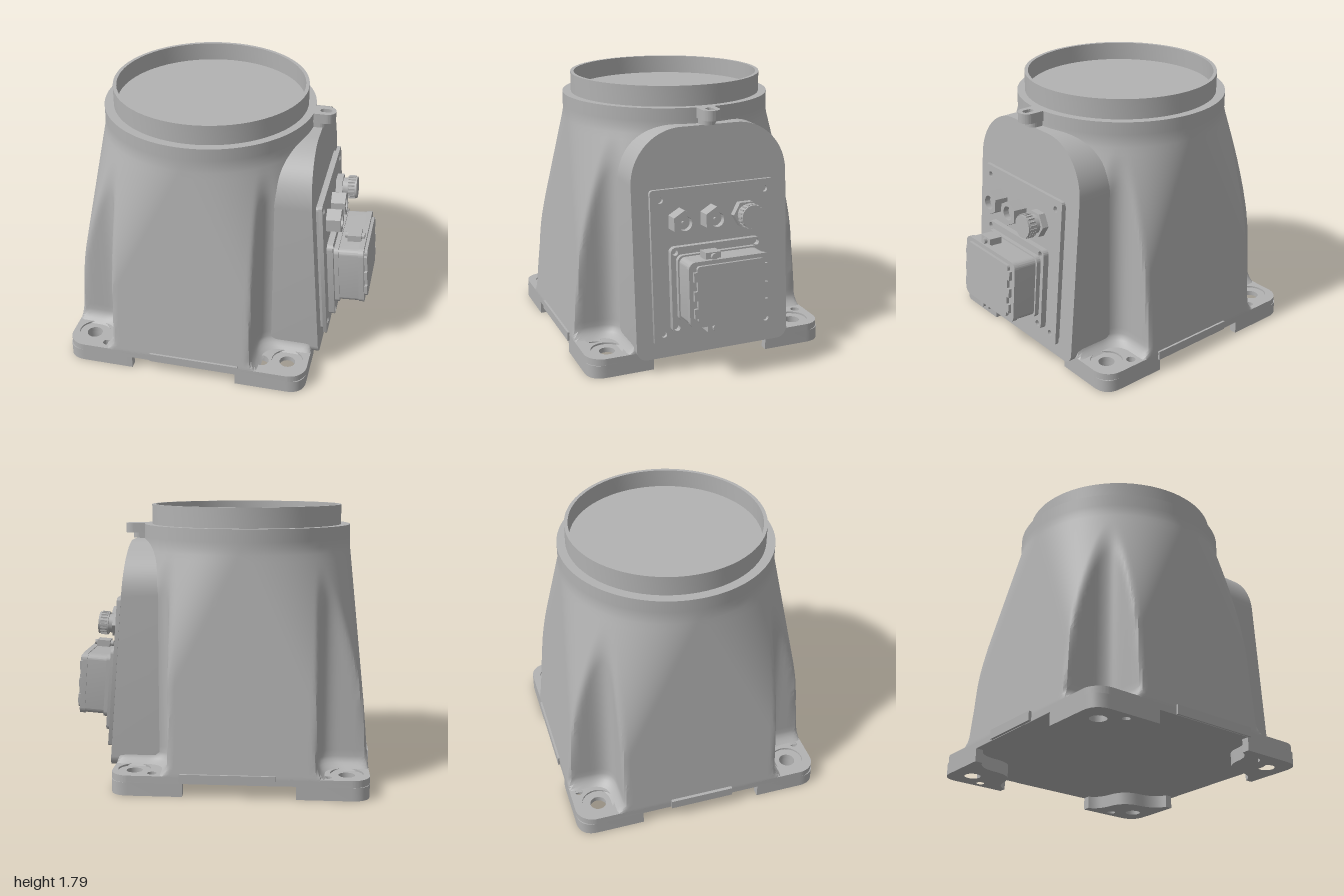
import * as THREE from 'three';
import { toCreasedNormals } from 'three/addons/utils/BufferGeometryUtils.js';

const grey = new THREE.MeshStandardMaterial({ color: 0xb2b2b2 });
grey.name = 'castGrey';
const CX = -0.163, LEAN = 0.0786;
const lerp = THREE.MathUtils.lerp;

function add(parent, name, geo, crease = 0.55) {
  const mesh = new THREE.Mesh(toCreasedNormals(geo, crease), grey);
  mesh.name = name;
  parent.add(mesh);
  return mesh;
}

// Rounded rectangle with separate bottom and top corner radii
function roundRect(x0, y0, x1, y1, rb, rt = rb) {
  const s = new THREE.Shape();
  s.moveTo(x0 + rb, y0);
  s.lineTo(x1 - rb, y0);
  s.absarc(x1 - rb, y0 + rb, rb, -Math.PI / 2, 0);
  s.absarc(x1 - rt, y1 - rt, rt, 0, Math.PI / 2);
  s.absarc(x0 + rt, y1 - rt, rt, Math.PI / 2, Math.PI);
  s.absarc(x0 + rb, y0 + rb, rb, Math.PI, Math.PI * 1.5);
  return s;
}

function cutHoles(shape, holes) {
  for (const [x, y, r] of holes) {
    shape.holes.push(new THREE.Path().absarc(x, y, r, 0, Math.PI * 2, true));
  }
  return shape;
}

const extrude = (shape, depth) =>
  new THREE.ExtrudeGeometry(shape, { depth, bevelEnabled: false, curveSegments: 14 });
// Horizontal slab: shape is drawn in (x, -z)
const slab = (shape, y0, y1) => extrude(shape, y1 - y0).rotateX(-Math.PI / 2).translate(0, y0, 0);
// Wall plate facing +x: shape is drawn in (-z, y)
const wall = (shape, x0, x1) => extrude(shape, x1 - x0).rotateY(Math.PI / 2).translate(x0, 0, 0);
// Round or hexagonal stub along +x
function stub(r, x0, x1, y, z, sides = 24) {
  return new THREE.CylinderGeometry(r, r, x1 - x0, sides).rotateZ(-Math.PI / 2)
    .translate((x0 + x1) / 2, y, z);
}

// Signed distance of the body's section: rounded rectangle turning into a circle,
// with four upright corner pockets cut away
function section(x, z, y) {
  const t = THREE.MathUtils.clamp((y - 0.13) / 1.4, 0, 1);
  const R = lerp(0.12, 0.69, t);
  const qx = Math.abs(x - CX) - lerp(0.815, 0.69, t) + R;
  const qz = Math.abs(z) - lerp(0.83, 0.69, t) + R;
  const outer = Math.hypot(Math.max(qx, 0), Math.max(qz, 0)) + Math.min(Math.max(qx, qz), 0) - R;
  const flare = 0.06 * Math.max(0, (0.2 - y) / 0.08) ** 2;
  const a = Math.abs(z) - 0.525 - flare;
  const b = Math.max(x - 0.29, -0.65 - x) - flare;
  const h = Math.max(0.13 - Math.abs(a - b), 0) / 0.13;
  const cross = Math.min(a, b) - h * h * 0.13 / 4;
  const k = Math.max(0.03 - Math.abs(outer - cross), 0) / 0.03;
  return y > 1.58 ? outer : Math.max(outer, cross) + k * k * 0.03 / 4 * Math.min(1, (1.58 - y) * 5);
}

function bodyGeometry() {
  const N = 300, ys = [0.12, 0.13, 0.145, 0.16, 0.18, 0.2];
  for (let i = 1; i <= 36; i++) ys.push(0.2 + i * 1.46 / 36);
  const pos = [], idx = [];
  const rows = ys.length + 1;
  for (let i = 0; i < rows; i++) {
    const y = ys[Math.min(i, ys.length - 1)];
    for (let j = 0; j < N; j++) {
      const c = Math.cos(j / N * Math.PI * 2), s = Math.sin(j / N * Math.PI * 2);
      let lo = 0.3, hi = 1.4;
      for (let n = 0; n < 24; n++) {
        const m = (lo + hi) / 2;
        if (section(CX + c * m, s * m, y) < 0) lo = m; else hi = m;
      }
      const r = i === rows - 1 ? 0.5 : lo; // last row closes the shoulder inward
      pos.push(CX + c * r, y, s * r);
      if (i < rows - 1) {
        const p = i * N + j, q = i * N + (j + 1) % N;
        idx.push(p, p + N, q, q, p + N, q + N);
      }
    }
  }
  const g = new THREE.BufferGeometry();
  g.setAttribute('position', new THREE.Float32BufferAttribute(pos, 3));
  g.setIndex(idx);
  return g;
}

function footShape(x, v, sx, sv) {
  const s = new THREE.Shape();
  const P = (a, b) => [x - sx * a, v - sv * b];
  s.moveTo(...P(0.12, 0));
  s.lineTo(...P(0.46, 0));
  s.lineTo(...P(0.46, 0.05));
  s.quadraticCurveTo(...P(0.38, 0.08), ...P(0.37, 0.19));
  s.quadraticCurveTo(...P(0.35, 0.33), ...P(0.2, 0.33));
  s.quadraticCurveTo(...P(0.08, 0.34), ...P(0.05, 0.43));
  s.lineTo(...P(0, 0.43));
  s.lineTo(...P(0, 0.12));
  s.quadraticCurveTo(...P(0, 0), ...P(0.12, 0));
  return s;
}

export function createModel() {
  const model = new THREE.Group();
  model.name = 'pedestal';
  add(model, 'body', bodyGeometry(), 0.6);

  // Top collar with a closed floor
  const ring = [[0.635, 1.65], [0.635, 1.79], [0.612, 1.79], [0.612, 1.67], [0, 1.67]];
  add(model, 'topCollar', new THREE.LatheGeometry(ring.map(p => new THREE.Vector2(...p)), 72)
    .translate(CX + 0.005, 0, 0));

  // Base flange with bolt holes, spot faces and four feet
  const bolts = [], small = [[-0.715, 0.77, 0.025], [-0.715, -0.77, 0.025], [0.39, 0.765, 0.03], [0.345, -0.71, 0.05]];
  for (const x of [-0.835, 0.515]) for (const v of [-0.67, 0.67]) bolts.push([x, v, 0.052]);
  const flange = () => roundRect(-0.978, -0.83, 0.652, 0.83, 0.12);
  add(model, 'baseFlange', slab(cutHoles(flange(), [...bolts, ...small]), 0.085, 0.118));
  add(model, 'spotFaceLayer', slab(cutHoles(flange(), [...bolts.map(([x, v]) => [x, v, 0.105]), ...small]), 0.118, 0.13));
  for (const sx of [-1, 1]) for (const sv of [-1, 1]) {
    const near = ([x, v]) => (x > CX) === (sx > 0) && v * sv > 0;
    const foot = footShape(sx > 0 ? 0.652 : -0.978, sv * 0.83, sx, sv);
    add(model, 'foot', slab(cutHoles(foot, [...bolts, ...small].filter(near)), 0, 0.085));
  }

  // Low machined pads on the lower edges
  for (const s of [-1, 1]) {
    add(model, 'edgePad', new THREE.BoxGeometry(0.6, 0.06, 0.05).translate(-0.09, 0.118, s * 0.817));
  }
  add(model, 'sidePad', new THREE.BoxGeometry(0.05, 0.06, 0.42).translate(-0.972, 0.118, 0));

  // Leaning arched housing
  const arch = wall(roundRect(-0.53, 0, 0.53, 1.465, 0.07, 0.34), -0.42, 0);
  const p = arch.attributes.position;
  for (let i = 0; i < p.count; i++) p.setX(i, p.getX(i) - p.getY(i) * Math.tan(LEAN));
  add(model, 'archedHousing', arch.translate(0.7, 0.095, 0));

  // Lifting lug with slot
  const lug = roundRect(0.4, -0.06, 0.662, 0.06, 0.058);
  lug.holes.push(new THREE.Path(roundRect(0.56, -0.024, 0.636, 0.024, 0.023).getPoints(8)));
  add(model, 'liftingLug', slab(lug, 1.595, 1.66));
  add(model, 'lugRoot', slab(roundRect(0.4, -0.05, 0.61, 0.05, 0.045), 1.56, 1.6));

  // Connector panel: local x points out of the housing, y runs up it
  const panel = new THREE.Group();
  panel.name = 'connectorPanel';
  panel.position.set(0.7, 0.1, 0);
  panel.rotation.z = LEAN;
  model.add(panel);
  add(panel, 'panelGasket', wall(roundRect(-0.4, 0.12, 0.4, 1.07, 0.02), -0.01, 0.02));
  add(panel, 'panelPlate', wall(cutHoles(roundRect(-0.425, 0.1, 0.418, 1.095, 0.02),
    [[-0.36, 0.165, 0.02], [0.355, 0.165, 0.02], [-0.36, 1.03, 0.02], [0.355, 1.03, 0.02]]), 0.02, 0.045));
  add(panel, 'connectorPlate', wall(cutHoles(roundRect(-0.315, 0.175, 0.308, 0.732, 0.035),
    [[-0.285, 0.21, 0.02], [0.272, 0.21, 0.02], [-0.285, 0.7, 0.02], [0.272, 0.7, 0.02]]), 0.045, 0.085));

  // Heavy connector: shell, lid frame, raised cover and edge ribs
  add(panel, 'connectorSkirt', wall(roundRect(-0.282, 0.255, 0.28, 0.685, 0.04), 0.085, 0.115));
  add(panel, 'connectorShell', wall(roundRect(-0.272, 0.268, 0.268, 0.675, 0.04), 0.115, 0.245));
  add(panel, 'connectorFrame', wall(roundRect(-0.278, 0.262, 0.274, 0.68, 0.045), 0.245, 0.28));
  add(panel, 'connectorCover', wall(roundRect(-0.23, 0.295, 0.222, 0.655, 0.02), 0.28, 0.3));
  for (const u of [-0.238, 0.23]) for (const y of [0.36, 0.47, 0.59]) {
    add(panel, 'coverRib', new THREE.BoxGeometry(0.02, 0.06, 0.03).translate(0.29, y, -u));
  }
  for (const y of [0.24, 0.695]) {
    add(panel, 'latch', new THREE.BoxGeometry(0.09, 0.05, 0.1).translate(0.205, y, 0.1));
    add(panel, 'latchPin', stub(0.02, 0.14, 0.27, y, 0.1, 12));
  }

  // Two hollow hexagonal glands and one knurled cap
  for (const z of [0.235, 0.02]) {
    const hex = new THREE.Shape();
    for (let i = 0; i < 6; i++) {
      const a = Math.PI / 6 + i * Math.PI / 3;
      hex[i ? 'lineTo' : 'moveTo'](-z + 0.084 * Math.cos(a), 0.89 + 0.084 * Math.sin(a));
    }
    add(panel, 'hexGland', wall(cutHoles(hex, [[-z, 0.89, 0.046]]), 0.045, 0.14));
    add(panel, 'glandCore', stub(0.046, 0.045, 0.1, 0.89, z));
    add(panel, 'glandPin', stub(0.01, 0.1, 0.115, 0.89, z, 10));
  }
  add(panel, 'capNut', stub(0.088, 0.045, 0.09, 0.89, -0.205, 6).rotateX(0));
  add(panel, 'capNeck', stub(0.062, 0.09, 0.12, 0.89, -0.205));
  add(panel, 'capBody', stub(0.074, 0.12, 0.185, 0.89, -0.205));
  for (let i = 0; i < 20; i++) {
    const a = i / 20 * Math.PI * 2;
    add(panel, 'capKnurl', new THREE.BoxGeometry(0.045, 0.01, 0.01)
      .translate(0.15, 0.89 + 0.074 * Math.cos(a), -0.205 + 0.074 * Math.sin(a)));
  }
  return model;
}
